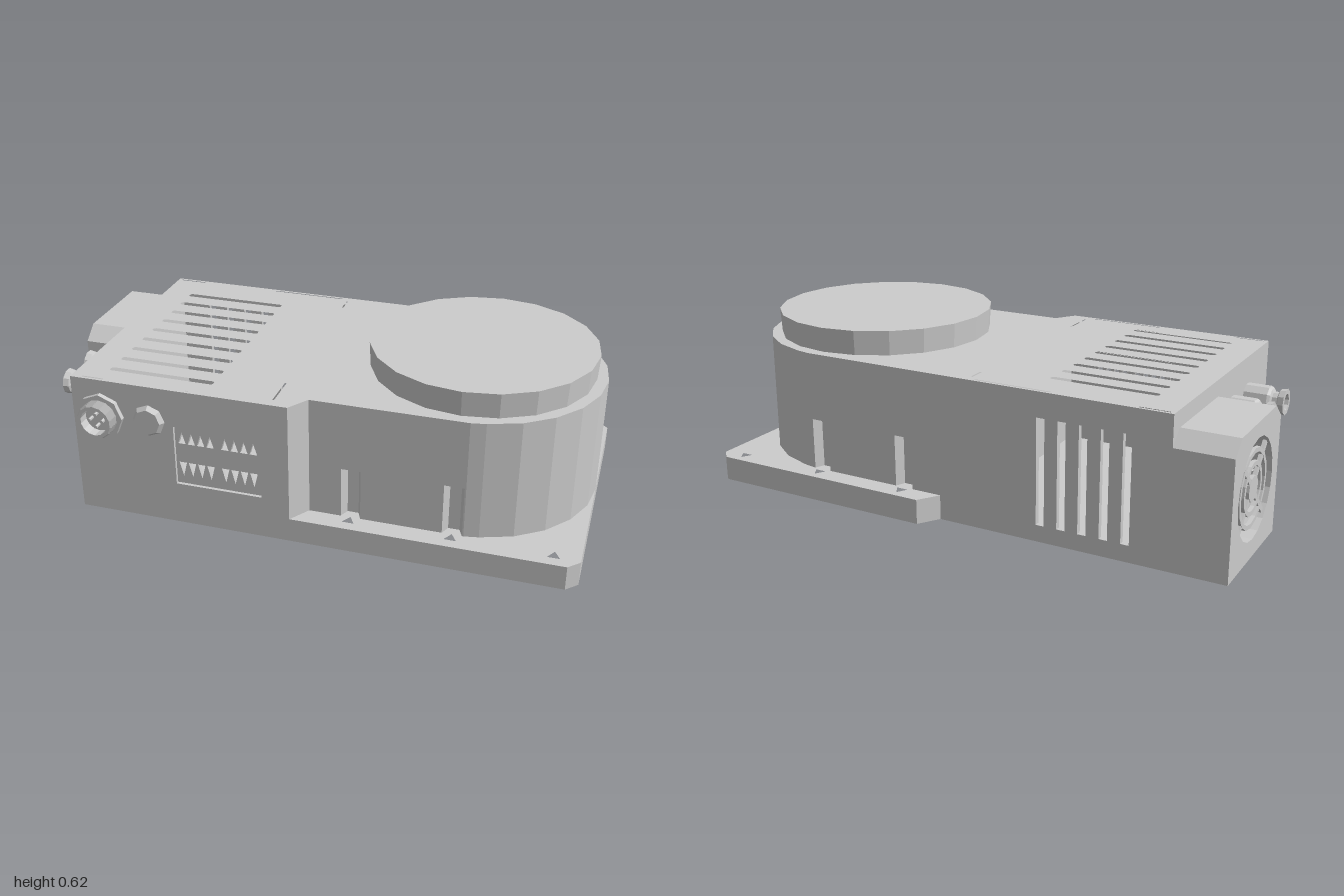
import * as THREE from 'three';

const grey = new THREE.MeshStandardMaterial({ color: 0xcccccc, flatShading: true });
const V = (a) => a.map(([x, y]) => new THREE.Vector2(x, y));
const rect = (x0, y0, x1, y1) => [[x0, y0], [x1, y0], [x1, y1], [x0, y1]];

// Regular polygon outline, also used for round holes
const ring = (cx, cy, r, n, start = 0) => Array.from({ length: n }, (_, i) => {
  const a = start + (i / n) * Math.PI * 2;
  return [cx + r * Math.cos(a), cy + r * Math.sin(a)];
});

// Slot with rounded ends between two x values
function slot(x0, x1, y, w) {
  const h = w / 2, c = h * 0.6;
  return [[x0, y - c], [x0 + c, y - h], [x1 - c, y - h], [x1, y - c],
    [x1, y + c], [x1 - c, y + h], [x0 + c, y + h], [x0, y + c]];
}

function extrude(outline, holes, depth) {
  const shape = new THREE.Shape(V(outline));
  holes.forEach((h) => shape.holes.push(new THREE.Path(V(h))));
  return new THREE.ExtrudeGeometry(shape, { depth, bevelEnabled: false, curveSegments: 8 });
}

export function createModel() {
  const model = new THREE.Group();
  model.name = 'vacuumPumpUnit';
  const add = (name, geo, parent = model) => {
    const m = new THREE.Mesh(geo, grey);
    m.name = name;
    parent.add(m);
    return m;
  };
  const flip = (pts) => pts.map(([x, z]) => [x, -z]);
  // Horizontal slab from an x/z outline
  const slab = (name, pts, y0, y1, holes = []) =>
    add(name, extrude(flip(pts), holes.map(flip), y1 - y0).rotateX(-Math.PI / 2).translate(0, y0, 0));
  // Upright wall from an x/y outline, grown toward +z
  const wall = (name, pts, z0, z1, holes = []) =>
    add(name, extrude(pts, holes, z1 - z0).translate(0, 0, z0));
  // Cross wall from a z/y outline, grown toward -x
  const crossWall = (name, pts, x0, depth, holes = []) =>
    add(name, extrude(pts, holes, depth).rotateY(-Math.PI / 2).translate(x0, 0, 0));

  // Mounting flange with triangular screw holes
  const screwHoles = [];
  for (const x of [0.2, 0.56, 0.91])
    for (const z of [0.428, -0.5]) screwHoles.push(ring(x, z, 0.025, 3, -Math.PI / 2));
  slab('mountingFlange', [[0, -0.475], [0.05, -0.475], [0.1, -0.55], [0.96, -0.55], [1, -0.51],
    [1, 0.44], [0.96, 0.48], [0, 0.48]], 0, 0.09, screwHoles);

  // Round-ended housing; its lower layer carries the screw pockets
  const arc = [];
  for (let i = 0; i <= 10; i++) {
    const a = THREE.MathUtils.degToRad(78 - i * 15.6);
    arc.push([0.56 + 0.44 * Math.cos(a), -0.035 + 0.44 * Math.sin(a)]);
  }
  const pocket = (x, z, d, s) => [[x - 0.035 * s, z], [x - 0.02 * s, z + d], [x + 0.02 * s, z + d], [x + 0.035 * s, z]];
  const housing = (pockets) => [[0, -0.475], [0, 0.48], [0.05, 0.405],
    ...(pockets ? [...pocket(0.2, 0.405, -0.035, 1), ...pocket(0.56, 0.405, -0.035, 1)] : []),
    [0.6, 0.405], ...arc, [0.6, -0.475],
    ...(pockets ? [...pocket(0.56, -0.475, 0.035, -1), ...pocket(0.2, -0.475, 0.035, -1)] : [])];
  slab('housingLower', housing(true), 0.09, 0.28);
  slab('housingUpper', housing(false), 0.28, 0.53);

  // Round cap on the housing
  add('roundCap', new THREE.CylinderGeometry(0.405, 0.4, 0.09, 20)).position.set(0.56, 0.575, -0.035);

  // Hollow electronics box: floor, vented lid and walls
  slab('boxFloor', rect(-0.8, -0.475, 0, 0.48), 0, 0.02);
  const lidHoles = [];
  for (let i = 0; i < 9; i++) lidHoles.push(slot(-0.69, -0.3, -0.32 + i * 0.088, 0.024));
  for (const z of [-0.462, 0.467])
    lidHoles.push(rect(-0.785, z - 0.003, -0.68, z + 0.003), rect(-0.37, z - 0.003, -0.09, z + 0.003));
  lidHoles.push(rect(-0.066, -0.44, -0.06, -0.38), rect(-0.066, 0.31, -0.06, 0.44));
  slab('ventedLid', rect(-0.8, -0.475, 0, 0.48), 0.51, 0.53, lidHoles);

  const vents = [];
  for (let i = 0; i < 5; i++) {
    const x = -0.65 + i * 0.077;
    vents.push(rect(x - 0.015, 0.06, x + 0.015, 0.44));
  }
  wall('ventedBackWall', rect(-0.8, 0.02, 0, 0.51), -0.475, -0.455, vents);
  wall('frontWall', rect(-0.8, 0.02, 0, 0.51), 0.455, 0.48, [rect(-0.42, 0.16, -0.1, 0.39)]);
  crossWall('endWall', rect(-0.455, 0.02, 0.455, 0.51), -0.78, 0.02);

  // Recessed terminal panel with two rows of triangular openings
  const openings = [];
  for (let i = 0; i < 8; i++) {
    const x = -0.395 + i * 0.035 + (i > 3 ? 0.02 : 0);
    openings.push([[x - 0.014, 0.32], [x + 0.014, 0.32], [x, 0.365]]);
    openings.push([[x - 0.014, 0.245], [x, 0.19], [x + 0.014, 0.245]]);
  }
  wall('terminalPanel', rect(-0.43, 0.15, -0.09, 0.4), 0.452, 0.468, openings);

  // Threaded front connector with pins
  const connector = new THREE.Group();
  connector.name = 'frontConnector';
  connector.position.set(-0.69, 0.395, 0.48);
  model.add(connector);
  add('connectorNut', new THREE.CylinderGeometry(0.085, 0.085, 0.018, 8).rotateX(Math.PI / 2), connector).position.z = 0.009;
  const thread = [[0.06, 0.015]];
  for (let i = 0; i < 4; i++) thread.push([0.067, 0.021 + i * 0.011], [0.058, 0.0265 + i * 0.011]);
  thread.push([0.062, 0.064], [0.05, 0.064], [0.05, 0.025], [0, 0.025]);
  add('connectorThread', new THREE.LatheGeometry(V(thread), 14).rotateX(Math.PI / 2), connector);
  for (const [x, y] of ring(0, 0, 0.024, 4, 0))
    add('connectorPin', new THREE.CylinderGeometry(0.006, 0.006, 0.03, 6).rotateX(Math.PI / 2), connector).position.set(x, y, 0.036);

  // Blanking plug beside the connector
  add('blankingPlug', new THREE.CylinderGeometry(0.048, 0.06, 0.018, 8).rotateX(Math.PI / 2)).position.set(-0.51, 0.4, 0.489);

  // Hose fittings on the end wall, opening toward -x
  const fitting = [[0.05, 0], [0.05, 0.085], [0.044, 0.095], [0.032, 0.1], [0.032, 0.118], [0.044, 0.124],
    [0.048, 0.145], [0.03, 0.145], [0.024, 0.08], [0, 0.08]];
  for (const z of [0.085, 0.25])
    add('hoseFitting', new THREE.LatheGeometry(V(fitting), 10).rotateZ(Math.PI / 2)).position.set(-0.8, 0.38, z);

  // Fan shroud with sloped top edges
  const fanZ = -0.245, fanY = 0.24;
  crossWall('fanShroud', [[-0.475, 0], [-0.01, 0], [-0.01, 0.42], [-0.07, 0.47], [-0.42, 0.47], [-0.475, 0.42]],
    -0.8, 0.2, [ring(fanZ, fanY, 0.175, 20)]);

  // Fan guard: hub, rings and spokes, with blades behind
  const fan = new THREE.Group();
  fan.name = 'fan';
  fan.position.set(-0.985, fanY, fanZ);
  model.add(fan);
  add('guardHub', new THREE.CylinderGeometry(0.045, 0.045, 0.016, 12).rotateZ(Math.PI / 2), fan);
  for (const r of [0.085, 0.13])
    add('guardRing', extrude(ring(0, 0, r + 0.008, 16), [ring(0, 0, r - 0.008, 16)], 0.014).rotateY(-Math.PI / 2), fan).position.x = 0.007;
  for (let i = 0; i < 4; i++) {
    const spoke = add('guardSpoke', new THREE.BoxGeometry(0.012, 0.15, 0.018).translate(0, 0.11, 0), fan);
    spoke.rotation.x = Math.PI / 4 + (i * Math.PI) / 2;
  }
  add('fanRotorHub', new THREE.CylinderGeometry(0.06, 0.06, 0.08, 12).rotateZ(Math.PI / 2), fan).position.x = 0.07;
  for (let i = 0; i < 7; i++) {
    const blade = new THREE.BoxGeometry(0.008, 0.115, 0.085).rotateY(0.6).translate(0, 0.11, 0);
    const m = add('fanBlade', blade, fan);
    m.position.x = 0.07;
    m.rotation.x = (i / 7) * Math.PI * 2;
  }
  return model;
}
